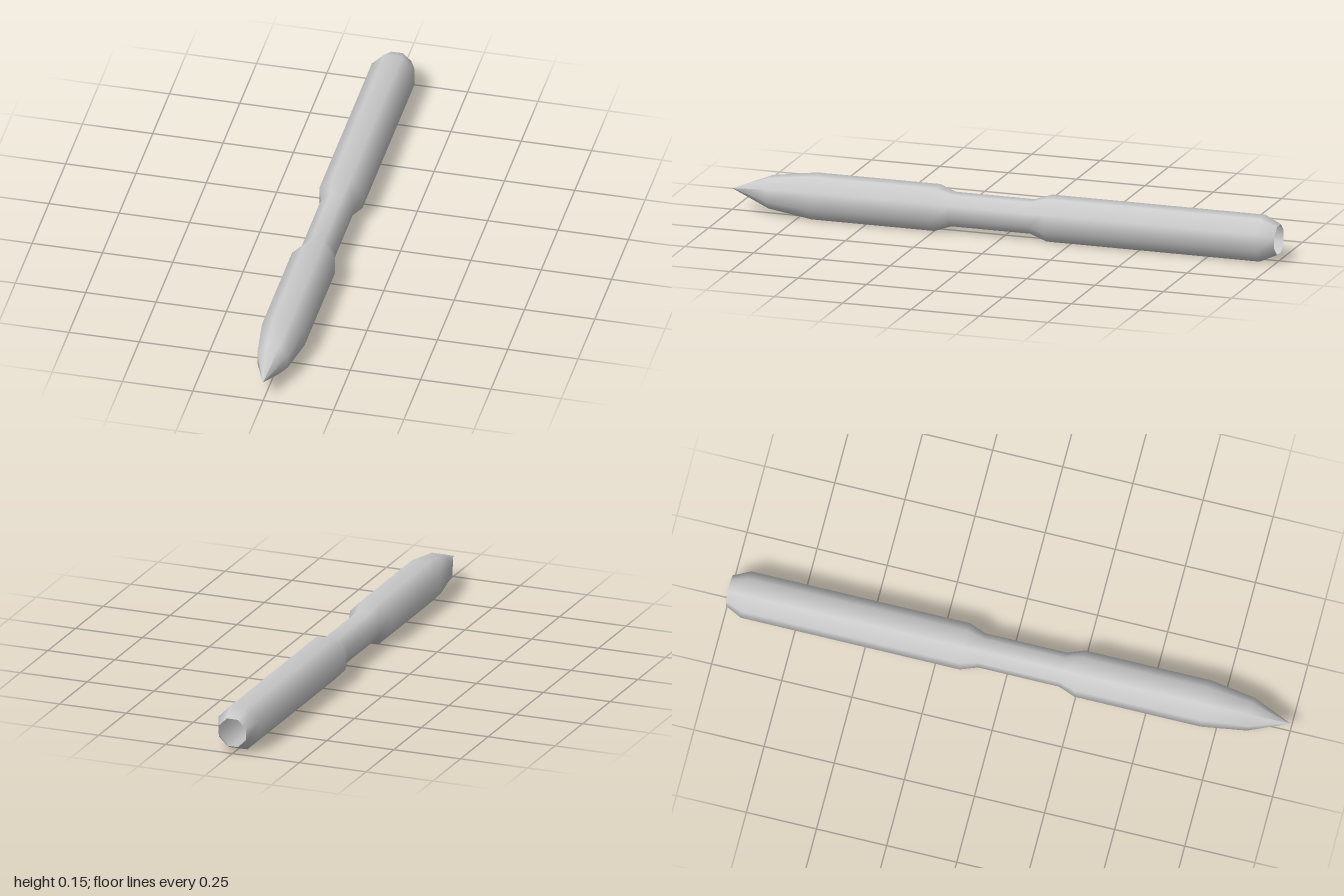
import * as THREE from 'three';

export function createModel() {
  const group = new THREE.Group();
  const material = new THREE.MeshStandardMaterial({ color: 0xcccccc, side: THREE.DoubleSide });

  // Half-width across the flats and position along z, from open tail to pointed tip
  const flat = 0.076;
  const profile = [
    [0.05, -1], [flat, -0.94], [flat, -0.16], [0.056, -0.1],
    [0.056, 0.19], [flat, 0.25], [flat, 0.7], [0.054, 0.86], [0, 1],
  ];

  // Eight-sided smooth shell, turned so flats face up, down and sideways
  const toCorner = 1 / Math.cos(Math.PI / 8);
  const points = profile.map(([r, z]) => new THREE.Vector2(r * toCorner, z));
  const geometry = new THREE.LatheGeometry(points, 8, Math.PI / 8);
  geometry.rotateX(Math.PI / 2);
  geometry.translate(0, flat, 0);

  const shaft = new THREE.Mesh(geometry, material);
  shaft.name = 'pointedShaft';
  group.add(shaft);
  return group;
}
